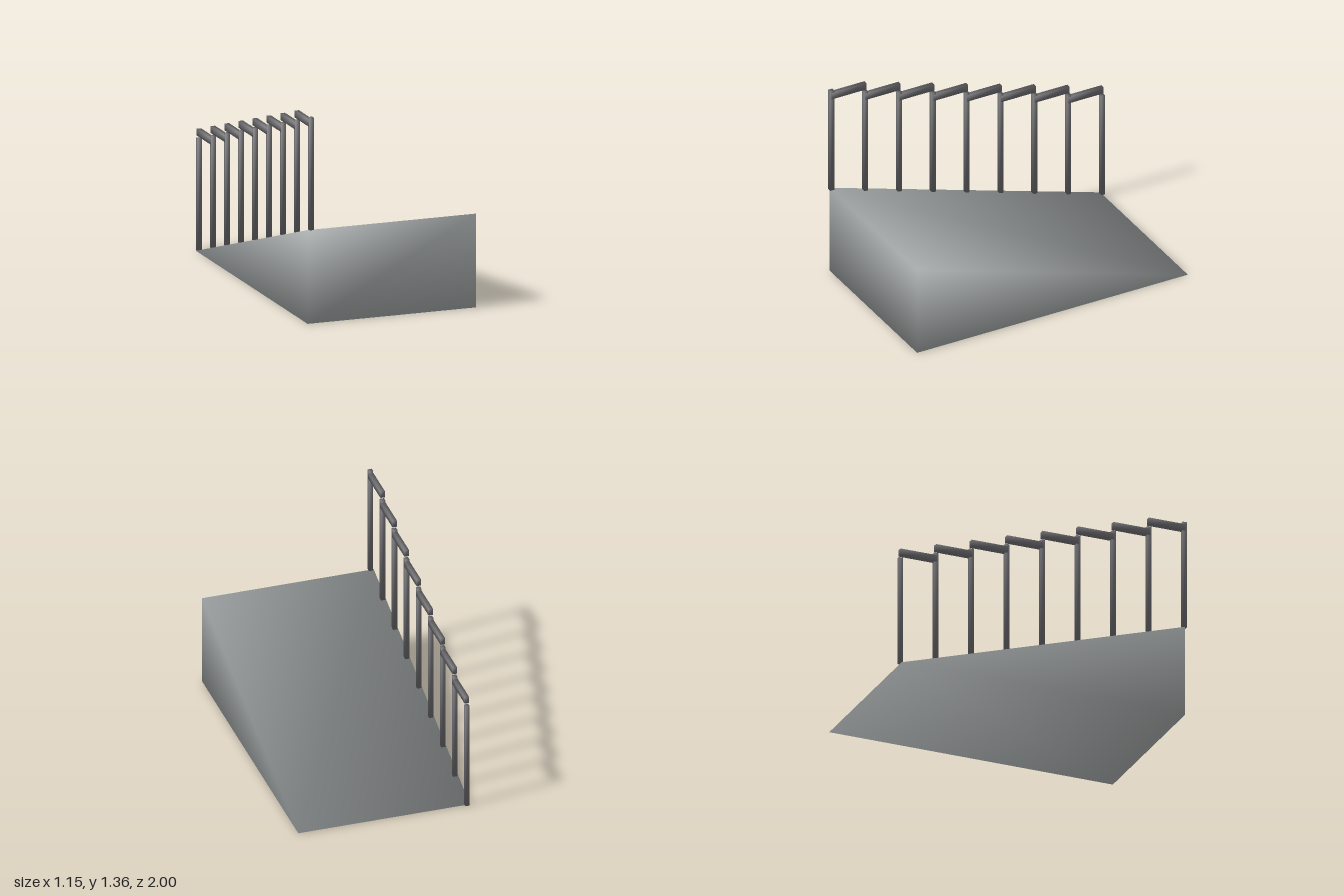
import * as THREE from 'three';
import { mergeVertices } from 'three/addons/utils/BufferGeometryUtils.js';

const WIDTH = 1.15, HALF_LENGTH = 0.985, HEIGHT = 0.617;
const POSTS = 9, POST_HEIGHT = 0.74, POST_SIZE = 0.029;
const RAIL_X = -0.553, STEP = (2 * HALF_LENGTH) / (POSTS - 1);

// Share corners between faces, averaging the face normals by corner angle
function smooth(geometry) {
  geometry.deleteAttribute('normal');
  geometry.deleteAttribute('uv');
  const welded = mergeVertices(geometry);
  const { position } = welded.attributes;
  const index = welded.index.array;
  const point = (i) => new THREE.Vector3().fromBufferAttribute(position, i);
  const normals = Array.from({ length: position.count }, () => new THREE.Vector3());
  for (let t = 0; t < index.length; t += 3) {
    for (let k = 0; k < 3; k++) {
      const corner = index[t + k];
      const toNext = point(index[t + (k + 1) % 3]).sub(point(corner));
      const toLast = point(index[t + (k + 2) % 3]).sub(point(corner));
      const faceNormal = toNext.clone().cross(toLast).normalize();
      normals[corner].addScaledVector(faceNormal, toNext.angleTo(toLast));
    }
  }
  const flat = normals.flatMap((n) => n.normalize().toArray());
  welded.setAttribute('normal', new THREE.Float32BufferAttribute(flat, 3));
  return welded;
}

export function createModel() {
  const model = new THREE.Group();
  model.name = 'rampWithHandrail';
  const rampMaterial = new THREE.MeshStandardMaterial({ color: 0x9a9e9e });
  const railMaterial = new THREE.MeshStandardMaterial({ color: 0x66666a });

  const add = (parent, name, geometry, material, x, y, z) => {
    const mesh = new THREE.Mesh(geometry, material);
    mesh.name = name;
    mesh.position.set(x, y, z);
    parent.add(mesh);
  };

  // Solid wedge, high at the front and sloping down to the back
  const profile = new THREE.Shape([
    new THREE.Vector2(-HALF_LENGTH, 0),
    new THREE.Vector2(HALF_LENGTH, 0),
    new THREE.Vector2(HALF_LENGTH, HEIGHT),
  ]);
  const wedge = new THREE.ExtrudeGeometry(profile, { depth: WIDTH, bevelEnabled: false });
  wedge.rotateY(-Math.PI / 2);
  add(model, 'ramp', smooth(wedge), rampMaterial, WIDTH / 2, 0, 0);

  // Handrail on the right edge: upright posts and stepped level rails
  const handrail = new THREE.Group();
  handrail.name = 'handrail';
  model.add(handrail);
  const postGeometry = smooth(new THREE.BoxGeometry(POST_SIZE - 0.001, POST_HEIGHT, POST_SIZE));
  const railGeometry = smooth(new THREE.BoxGeometry(0.03, 0.045, 0.254));

  for (let i = 0; i < POSTS; i++) {
    const z = HALF_LENGTH - i * STEP;
    const base = HEIGHT * (1 - i / (POSTS - 1));
    add(handrail, `post${i + 1}`, postGeometry, railMaterial, RAIL_X, base + POST_HEIGHT / 2, z);
    if (i < POSTS - 1) {
      add(handrail, `rail${i + 1}`, railGeometry, railMaterial, RAIL_X, base + 0.702, z - STEP / 2);
    }
  }
  return model;
}
